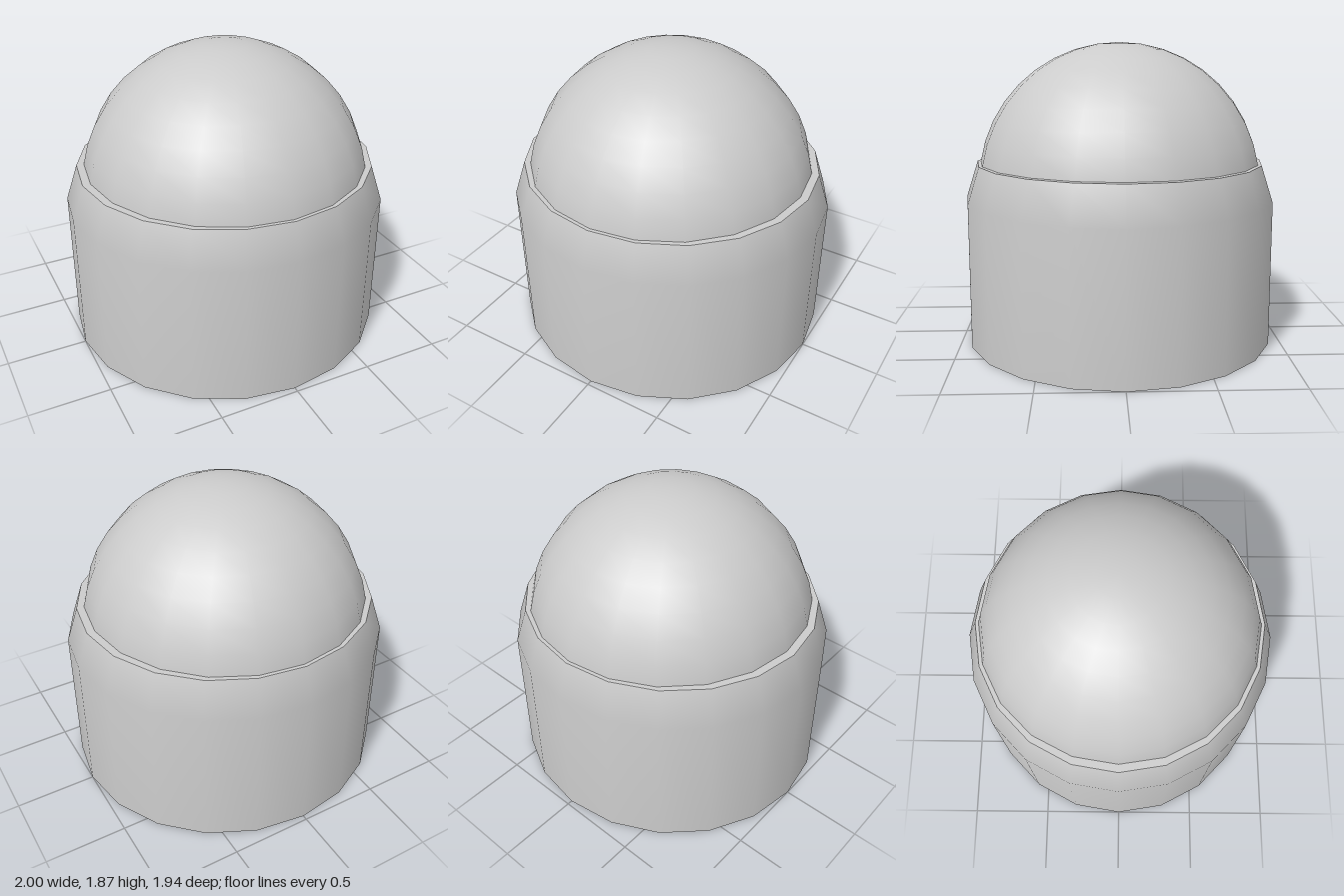
import * as THREE from 'three';

const SIDES = 20;

export function createModel() {
  const group = new THREE.Group();
  const material = new THREE.MeshStandardMaterial({ color: 0xcccccc, side: THREE.DoubleSide });

  const add = (name, geometry, parent = group) => {
    const mesh = new THREE.Mesh(geometry, material);
    mesh.name = name;
    parent.add(mesh);
    return mesh;
  };

  // Slightly flattened sleeve: open at the bottom, tapered at the shoulder
  const base = new THREE.Group();
  base.name = 'base';
  base.scale.z = 0.97;
  group.add(base);
  const profile = [[1, 0], [1, 0.9], [0.925, 1.125]].map(([r, y]) => new THREE.Vector2(r, y));
  add('sleeve', new THREE.LatheGeometry(profile, SIDES), base);

  // Flat top of the sleeve, showing as a narrow ledge around the dome
  const ledge = add('ledge', new THREE.CircleGeometry(0.925, SIDES), base);
  ledge.rotation.x = -Math.PI / 2;
  ledge.position.y = 1.125;

  // Open hemisphere sunk into the sleeve
  const dome = add('dome', new THREE.SphereGeometry(0.89, SIDES, 10, 0, Math.PI * 2, 0, Math.PI / 2));
  dome.position.y = 0.975;

  return group;
}
